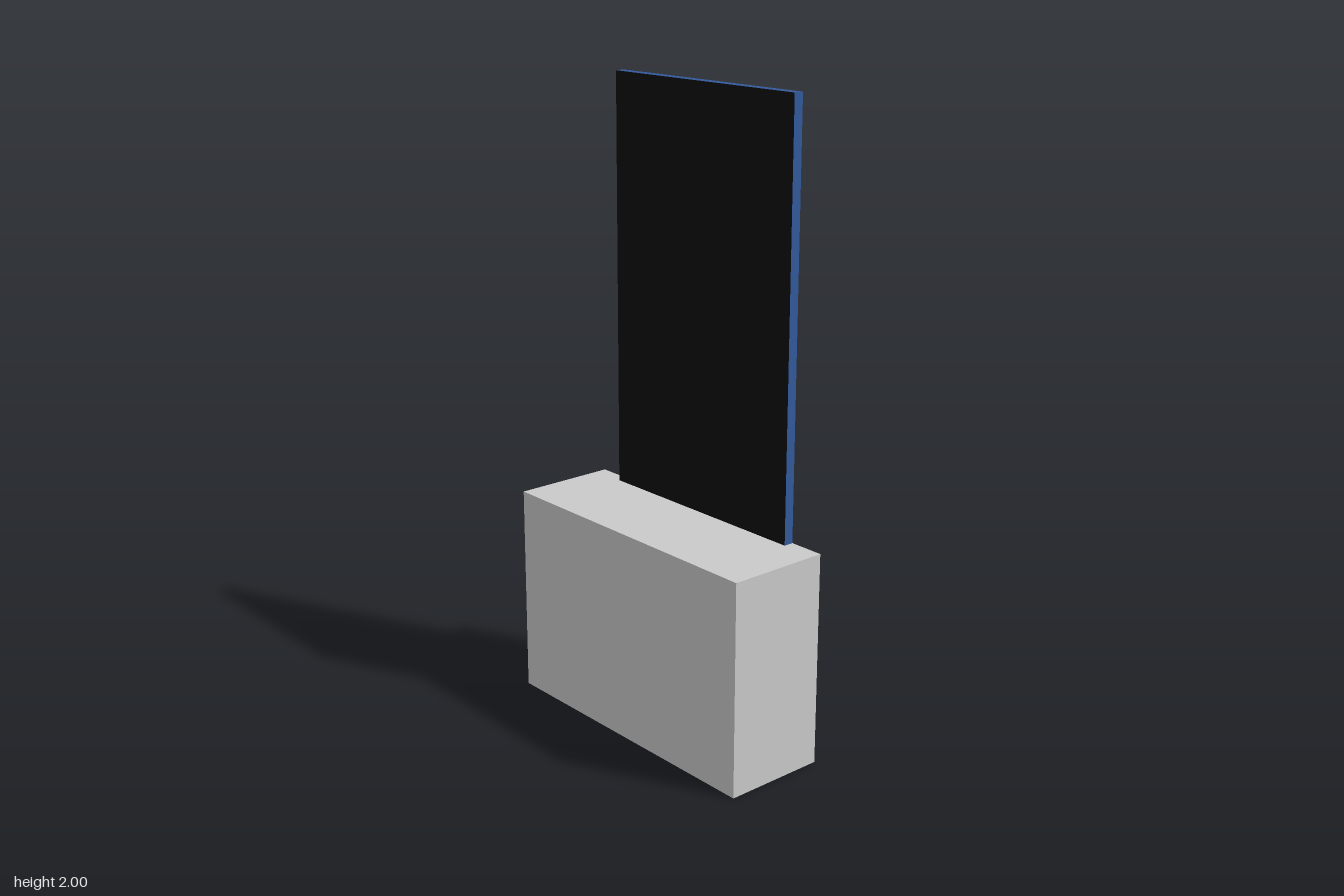
import * as THREE from 'three';

const material = (name, color) => {
  const m = new THREE.MeshStandardMaterial({ color });
  m.name = name;
  return m;
};

export function createModel() {
  const grey = material('light grey', 0xcacaca);
  const blue = material('blue', 0x335a9c);
  const black = material('black', 0x0d0d0d);

  const baseHeight = 0.677, depth = 0.335;
  const panelHeight = 2 - baseHeight, panelDepth = 0.032;
  const model = new THREE.Group();
  model.name = 'displayStand';

  // Solid block that carries the panel
  const base = new THREE.Mesh(new THREE.BoxGeometry(1.001, baseHeight, depth), grey);
  base.name = 'base';
  base.position.y = baseHeight / 2;

  // Upright panel flush with the back of the base; only its front face is black
  const panel = new THREE.Mesh(
    new THREE.BoxGeometry(0.77, panelHeight, panelDepth),
    [blue, blue, blue, blue, black, blue]
  );
  panel.name = 'screenPanel';
  panel.position.set(0, baseHeight + panelHeight / 2, (panelDepth - depth) / 2);

  model.add(base, panel);
  return model;
}
